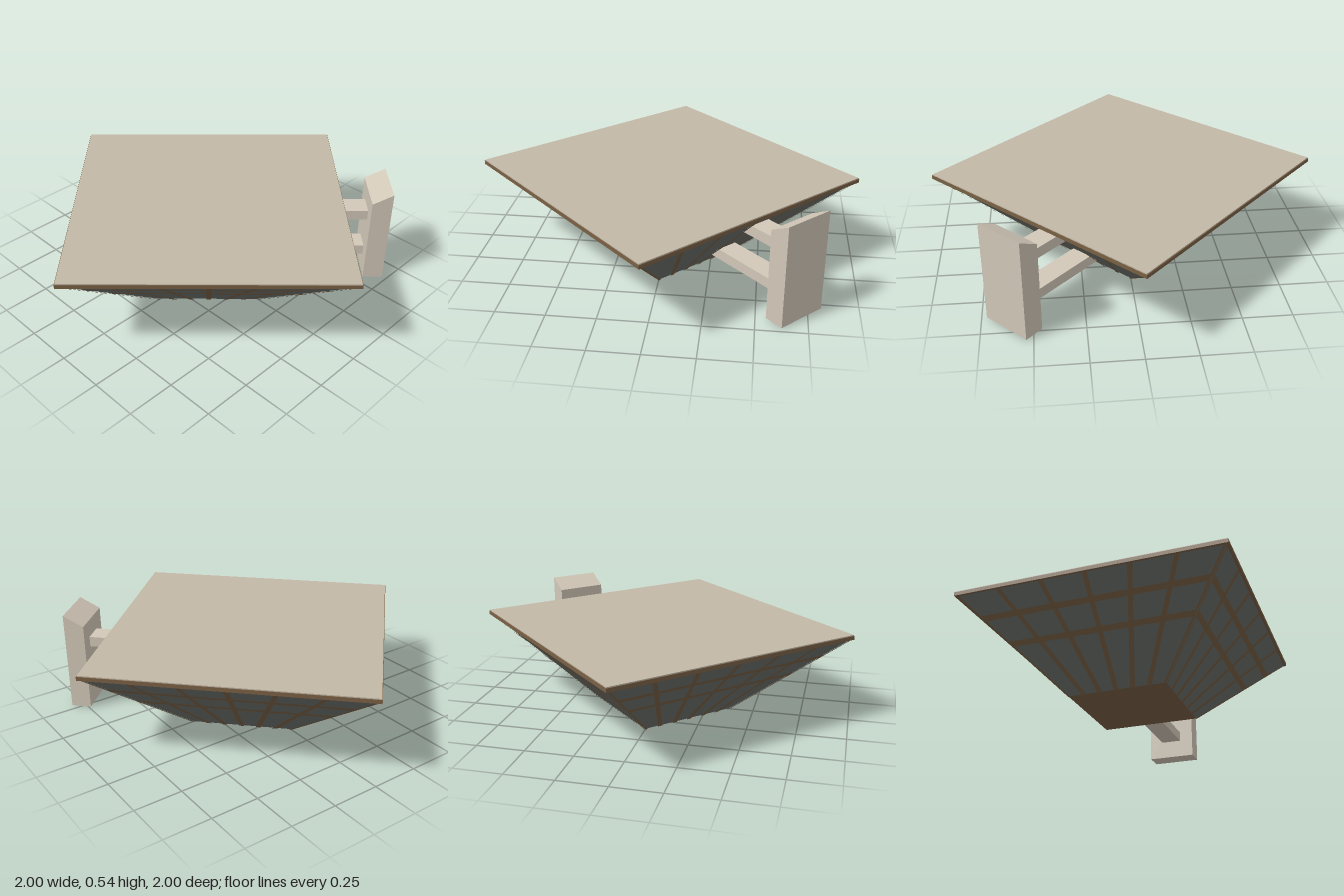
import * as THREE from 'three';

const mat = (name, color) => {
  const m = new THREE.MeshStandardMaterial({ color });
  m.name = name;
  return m;
};

export function createModel() {
  const glass = mat('slateGlass', 0x6c6f6b);
  const brown = mat('bronze', 0x7a6044);
  const roofTan = mat('roofTan', 0xc2b8a7);
  const stone = mat('paleStone', 0xd2c8b8);

  const model = new THREE.Group();
  model.name = 'invertedPyramidBuilding';
  // Everything is built square to the axes, then turned by an eighth
  const body = new THREE.Group();
  body.name = 'building';
  body.rotation.y = Math.PI / 4;
  model.add(body);

  const add = (name, geometry, material, parent = body) => {
    const mesh = new THREE.Mesh(geometry, material);
    mesh.name = name;
    parent.add(mesh);
    return mesh;
  };
  // Box given by its limits on each axis
  const box = (name, [x0, x1], [y0, y1], [z0, z1], material) =>
    add(name, new THREE.BoxGeometry(x1 - x0, y1 - y0, z1 - z0), material)
      .position.set((x0 + x1) / 2, (y0 + y1) / 2, (z0 + z1) / 2);

  // Inverted pyramid hull with a bronze floor
  const H = 0.44, low = 0.262, high = 0.697;
  const hull = new THREE.CylinderGeometry(high * Math.SQRT2, low * Math.SQRT2, H, 4)
    .rotateY(Math.PI / 4).translate(0, H / 2, 0).toNonIndexed();
  hull.computeVertexNormals();
  add('hull', hull, [glass, brown, brown]);

  // Roof slab and its rim
  box('roofRim', [-0.707, 0.707], [0.437, 0.457], [-0.707, 0.707], brown);
  box('roof', [-0.704, 0.704], [0.457, 0.462], [-0.704, 0.704], roofTan);

  // Point on a sloping face: u runs across (-1 to 1), y is the height
  const half = (y) => low + (high - low) * y / H;
  const point = (u, y, shift = 0) =>
    [u * half(y) + shift, y - 0.003, half(y) + 0.003];
  const strips = (quads) => {
    const pos = [];
    for (const [a, b, c, d] of quads) pos.push(...a, ...b, ...c, ...a, ...c, ...d);
    const g = new THREE.BufferGeometry();
    g.setAttribute('position', new THREE.Float32BufferAttribute(pos, 3));
    g.computeVertexNormals();
    return g;
  };
  const upright = (u, left, right) =>
    [point(u, 0, left), point(u, 0, right), point(u, H, right), point(u, H, left)];
  const level = (y, w) =>
    [point(-1, y - w), point(1, y - w), point(1, y + w), point(-1, y + w)];

  // Mullions, floor bands and corner ribs on each face
  const mullions = [-2, -1, 0, 1, 2].map((i) => upright(i / 3, -0.013, 0.013));
  const corners = [upright(-1, 0, 0.012), upright(1, -0.012, 0)];
  const bands = [0.23, 0.34].map((y) => level(y, 0.011));
  for (let i = 0; i < 4; i++) {
    const face = new THREE.Group();
    face.name = 'faceTrim' + (i + 1);
    face.rotation.y = i * Math.PI / 2;
    add('mullions', strips(mullions), brown, face);
    add('cornerRibs', strips(corners), brown, face);
    if (i > 0) add('floorBands', strips(bands), brown, face);
    body.add(face);
  }

  // Stair tower with a cap that rises outward
  const tx = [-0.07, 0.198], tz = [0.849, 0.955];
  box('tower', tx, [0, 0.472], tz, stone);
  const profile = new THREE.Shape([
    new THREE.Vector2(-tz[0], 0.472), new THREE.Vector2(-tz[0], 0.476),
    new THREE.Vector2(-tz[1], 0.532), new THREE.Vector2(-tz[1], 0.472),
  ]);
  const cap = new THREE.ExtrudeGeometry(profile, { depth: tx[1] - tx[0], bevelEnabled: false })
    .rotateY(Math.PI / 2).translate(tx[0], 0, 0);
  add('towerCap', cap, stone);

  // Bridges from the tower into the hull
  box('lowerBridge', [0.007, 0.121], [0.1, 0.155], [0.34, 0.86], stone);
  box('upperBridge', [0.007, 0.121], [0.33, 0.385], [0.57, 0.86], stone);

  return model;
}
